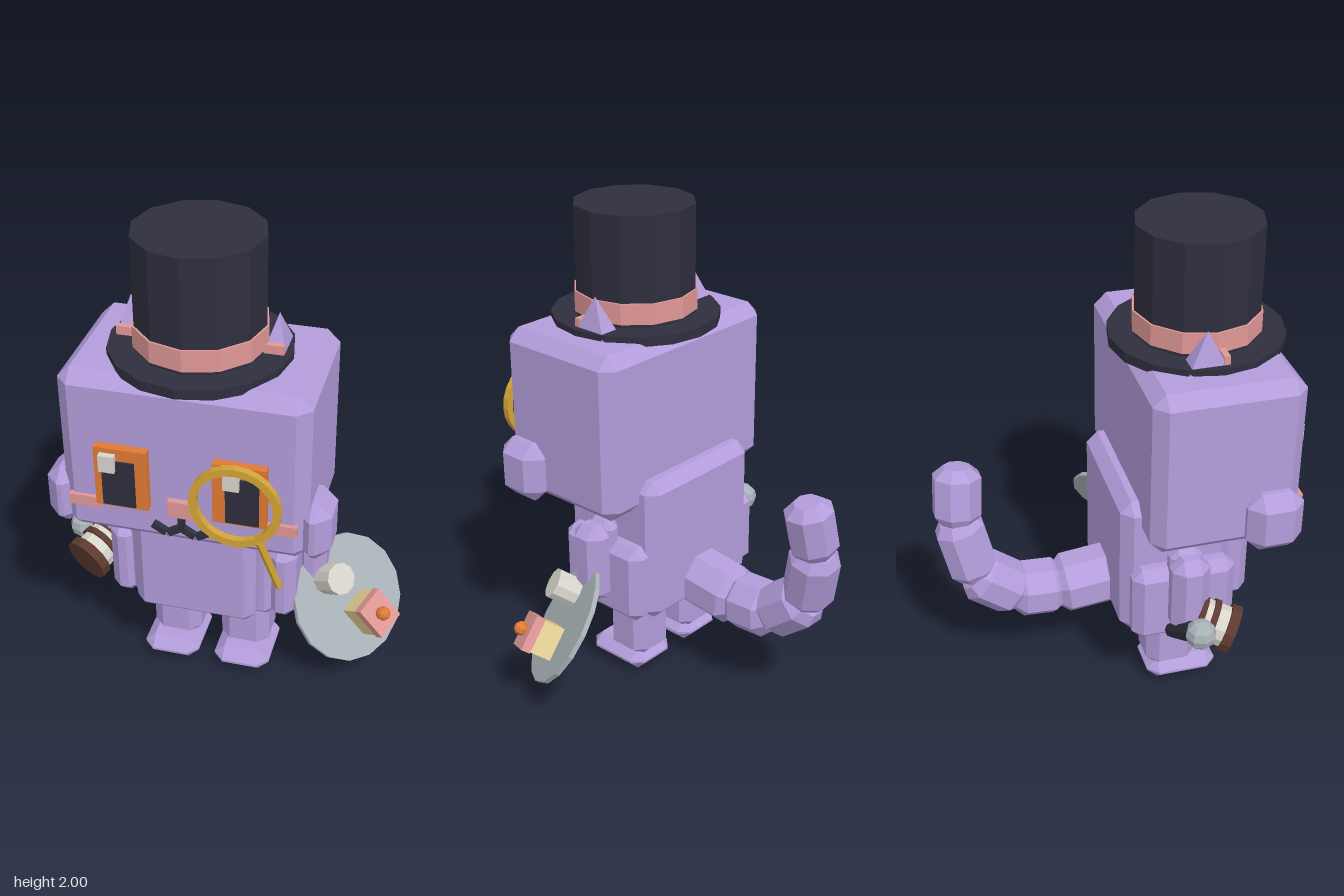
import * as THREE from 'three';
import { ConvexGeometry } from 'three/addons/geometries/ConvexGeometry.js';

const V = (x, y, z) => new THREE.Vector3(x, y, z);

function makeMaterials() {
  const colors = {
    lilacFur: 0xb39ddb, darkFelt: 0x2e2e3e, pink: 0xe09896, orange: 0xe07a35, gold: 0xd4a437,
    steel: 0xa9b2b7, offWhite: 0xd8d5cc, brown: 0x5d3a30, cream: 0xecd79a,
  };
  const out = {};
  for (const [name, color] of Object.entries(colors)) {
    out[name] = new THREE.MeshStandardMaterial({ color });
    out[name].name = name;
  }
  return out;
}

// Faceted normals for built-in shapes
function flat(geometry) {
  const g = geometry.index ? geometry.toNonIndexed() : geometry;
  g.computeVertexNormals();
  return g;
}

// Box centred on the origin with every edge cut by c
function chamferBox(w, h, d, c) {
  const pts = [];
  for (const sx of [-1, 1]) for (const sy of [-1, 1]) for (const sz of [-1, 1]) {
    const x = w / 2, y = h / 2, z = d / 2;
    pts.push(V(sx * x, sy * (y - c), sz * (z - c)));
    pts.push(V(sx * (x - c), sy * y, sz * (z - c)));
    pts.push(V(sx * (x - c), sy * (y - c), sz * z));
  }
  return new ConvexGeometry(pts);
}

export function createModel() {
  const root = new THREE.Group();
  root.name = 'catWithTopHat';
  const M = makeMaterials();
  const CX = -0.08; // middle of the body

  function add(name, geometry, material, pos = [0, 0, 0], parent = root) {
    const mesh = new THREE.Mesh(geometry, material);
    mesh.name = name;
    mesh.position.set(...pos);
    parent.add(mesh);
    return mesh;
  }
  // Box given by its limits, optionally chamfered
  function block(name, mat, x0, x1, y0, y1, z0, z1, c = 0) {
    const s = [x1 - x0, y1 - y0, z1 - z0];
    const g = c ? chamferBox(...s, c) : new THREE.BoxGeometry(...s);
    return add(name, g, mat, [(x0 + x1) / 2, (y0 + y1) / 2, (z0 + z1) / 2]);
  }
  // The same block on both sides of the body, with x measured from its middle
  function pair(name, mat, x0, x1, ...rest) {
    block(name + 'Left', mat, CX + x0, CX + x1, ...rest);
    block(name + 'Right', mat, CX - x1, CX - x0, ...rest);
  }
  // Faceted rod between two points
  function rod(name, mat, a, b, rA, rB, sides, parent = root) {
    const dir = b.clone().sub(a);
    const m = add(name, flat(new THREE.CylinderGeometry(rB, rA, dir.length(), sides)), mat, [0, 0, 0], parent);
    m.position.copy(a).add(b).multiplyScalar(0.5);
    m.quaternion.setFromUnitVectors(V(0, 1, 0), dir.normalize());
    return m;
  }

  // Head, cheeks and body
  block('head', M.lilacFur, -0.55, 0.39, 0.83, 1.53, 0.03, 0.62, 0.05);
  pair('cheekTuft', M.lilacFur, 0.42, 0.55, 0.825, 1.08, 0.39, 0.615, 0.055);
  block('torso', M.lilacFur, -0.39, 0.23, 0.34, 0.97, -0.045, 0.41, 0.045);
  block('belly', M.lilacFur, -0.325, 0.165, 0.385, 0.9, 0.36, 0.515, 0.04);
  pair('bodySide', M.lilacFur, 0.27, 0.385, 0.35, 0.69, -0.015, 0.41, 0.04);

  // Arms
  pair('shoulder', M.lilacFur, 0.3, 0.4, 0.4, 0.78, 0.13, 0.265, 0.035);
  pair('arm', M.lilacFur, 0.35, 0.48, 0.43, 0.775, 0.12, 0.275, 0.045);

  // Legs and feet
  pair('leg', M.lilacFur, 0.045, 0.25, 0.06, 0.42, 0.09, 0.30, 0.045);
  pair('foot', M.lilacFur, 0.035, 0.27, 0, 0.1, 0.09, 0.39, 0.045);

  // Tail: beveled eight-sided links along a bent path
  const joints = [V(CX, 0.44, 0.02), V(CX, 0.41, -0.24), V(CX, 0.42, -0.42),
    V(-0.085, 0.55, -0.585), V(-0.05, 0.79, -0.64), V(-0.005, 1.025, -0.62)];
  const radii = [0.13, 0.12, 0.115, 0.105, 0.1];
  radii.forEach((r, i) => {
    const dir = joints[i + 1].clone().sub(joints[i]);
    const h = dir.length() / 2 + (i < 4 ? 0.012 : 0);
    const c = 0.04, e = r * 0.72;
    const profile = [[0, -h], [e, -h], [r, -h + c], [r, h - c], [i < 4 ? e : r * 0.55, h], [0, h]];
    const g = new THREE.LatheGeometry(profile.map(p => new THREE.Vector2(...p)), 8, Math.PI / 8);
    const link = add('tailLink' + (i + 1), flat(g), M.lilacFur);
    link.position.copy(joints[i]).add(joints[i + 1]).multiplyScalar(0.5);
    link.quaternion.setFromUnitVectors(V(0, 1, 0), dir.normalize());
  });

  // Eyes: frame, pupil and highlight
  [['Right', -0.4], ['Left', 0.045]].forEach(([side, x]) => {
    const p = side === 'Right' ? 0.03 : 0.05;
    block('eye' + side, M.orange, x, x + 0.2, 1.0, 1.255, 0.61, 0.655);
    block('pupil' + side, M.darkFelt, x + p, x + p + 0.125, 1.01, 1.205, 0.654, 0.663);
    block('eyeHighlight' + side, M.offWhite, x + p - 0.005, x + p + 0.055, 1.165, 1.235, 0.654, 0.68);
  });

  // Nose, blush and mouth
  block('nose', M.pink, -0.13, -0.03, 0.98, 1.05, 0.61, 0.645);
  pair('blush', M.pink, 0.315, 0.435, 0.965, 1.01, 0.61, 0.635);
  const mouth = [[0, 0.98, 0, 0.925], [0, 0.93, 0.05, 0.9], [0, 0.93, -0.05, 0.9],
    [0.06, 0.9, 0.11, 0.93], [-0.06, 0.9, -0.11, 0.93]];
  mouth.forEach(([x0, y0, x1, y1], i) => {
    const len = Math.hypot(x1 - x0, y1 - y0);
    const s = add('mouthStroke' + (i + 1), new THREE.BoxGeometry(len, 0.024, 0.03), M.darkFelt,
      [CX + (x0 + x1) / 2, (y0 + y1) / 2, 0.63]);
    s.rotation.z = Math.atan2(y1 - y0, x1 - x0);
  });

  // Ears
  for (const s of [-1, 1]) {
    const side = s > 0 ? 'Left' : 'Right';
    add('ear' + side, new ConvexGeometry([V(s * 0.015, 1.685, 0.275), V(s * 0.06, 1.52, 0.36),
      V(s * 0.06, 1.52, 0.19), V(-s * 0.04, 1.52, 0.36), V(-s * 0.04, 1.52, 0.19)]),
    M.lilacFur, [CX + s * 0.265, 0, 0]);
  }
  pair('innerEar', M.pink, 0.24, 0.315, 1.555, 1.59, 0.33, 0.355);

  // Top hat
  const disc = (name, mat, r, y0, y1, sides) =>
    add(name, flat(new THREE.CylinderGeometry(r, r, y1 - y0, sides)), mat, [CX, (y0 + y1) / 2, 0.325]);
  disc('hatBrim', M.darkFelt, 0.345, 1.515, 1.555, 16);
  disc('hatCrown', M.darkFelt, 0.246, 1.515, 2, 12);
  disc('hatBand', M.pink, 0.254, 1.57, 1.655, 12);

  // Magnifying glass
  const ring = new THREE.Shape().absarc(0, 0, 0.17, 0, Math.PI * 2);
  ring.holes.push(new THREE.Path().absarc(0, 0, 0.141, 0, Math.PI * 2, true));
  add('lensRing', flat(new THREE.ExtrudeGeometry(ring, { depth: 0.028, bevelEnabled: false, curveSegments: 12 })),
    M.gold, [0.145, 1.125, 0.697]);
  rod('lensHandle', M.gold, V(0.235, 0.99, 0.717), V(0.302, 0.762, 0.675), 0.015, 0.015, 6);

  // Tilted serving plate with a cup and a cake
  const tray = new THREE.Group();
  tray.name = 'servingPlate';
  tray.position.set(0.49, 0.365, 0.215);
  const n = V(0.648, 0.538, 0.538).normalize();
  const u = V(n.y, -n.x, 0).normalize();
  const w = u.clone().cross(n);
  u.negate().negate();
  tray.quaternion.setFromRotationMatrix(new THREE.Matrix4().makeBasis(u, n, w));
  root.add(tray);
  add('plate', flat(new THREE.CylinderGeometry(0.262, 0.262, 0.02, 16)), M.steel, [0, 0, 0], tray);
  add('cup', flat(new THREE.CylinderGeometry(0.065, 0.065, 0.11, 10)), M.offWhite, [-0.13, 0.06, 0.02], tray);
  add('cake', new THREE.BoxGeometry(0.14, 0.1, 0.12), M.cream, [0.09, 0.055, 0], tray);
  add('icing', new THREE.BoxGeometry(0.15, 0.04, 0.13), M.pink, [0.09, 0.122, 0], tray);
  add('berry', flat(new THREE.SphereGeometry(0.03, 8, 6)), M.orange, [0.09, 0.16, 0], tray);

  // Banded drum and ball-ended handle in the right hand
  const end = V(-0.59, 0.45, 0.36), axis = V(0.42, 0.3, -0.85).normalize();
  const along = t => end.clone().addScaledVector(axis, t);
  rod('drumFrontCap', M.brown, along(0), along(0.04), 0.1, 0.1, 12);
  rod('drumBandFront', M.offWhite, along(0.04), along(0.085), 0.085, 0.085, 12);
  rod('drumMiddle', M.brown, along(0.085), along(0.11), 0.095, 0.095, 12);
  rod('drumBandBack', M.offWhite, along(0.11), along(0.135), 0.085, 0.085, 12);
  rod('drumBackCap', M.brown, along(0.135), along(0.155), 0.09, 0.09, 12);
  rod('handle', M.darkFelt, V(-0.47, 0.4, 0.14), V(-0.63, 0.51, 0.19), 0.032, 0.045, 8);
  add('handleBall', flat(new THREE.SphereGeometry(0.062, 8, 6)), M.steel, [-0.648, 0.515, 0.2]);

  return root;
}
